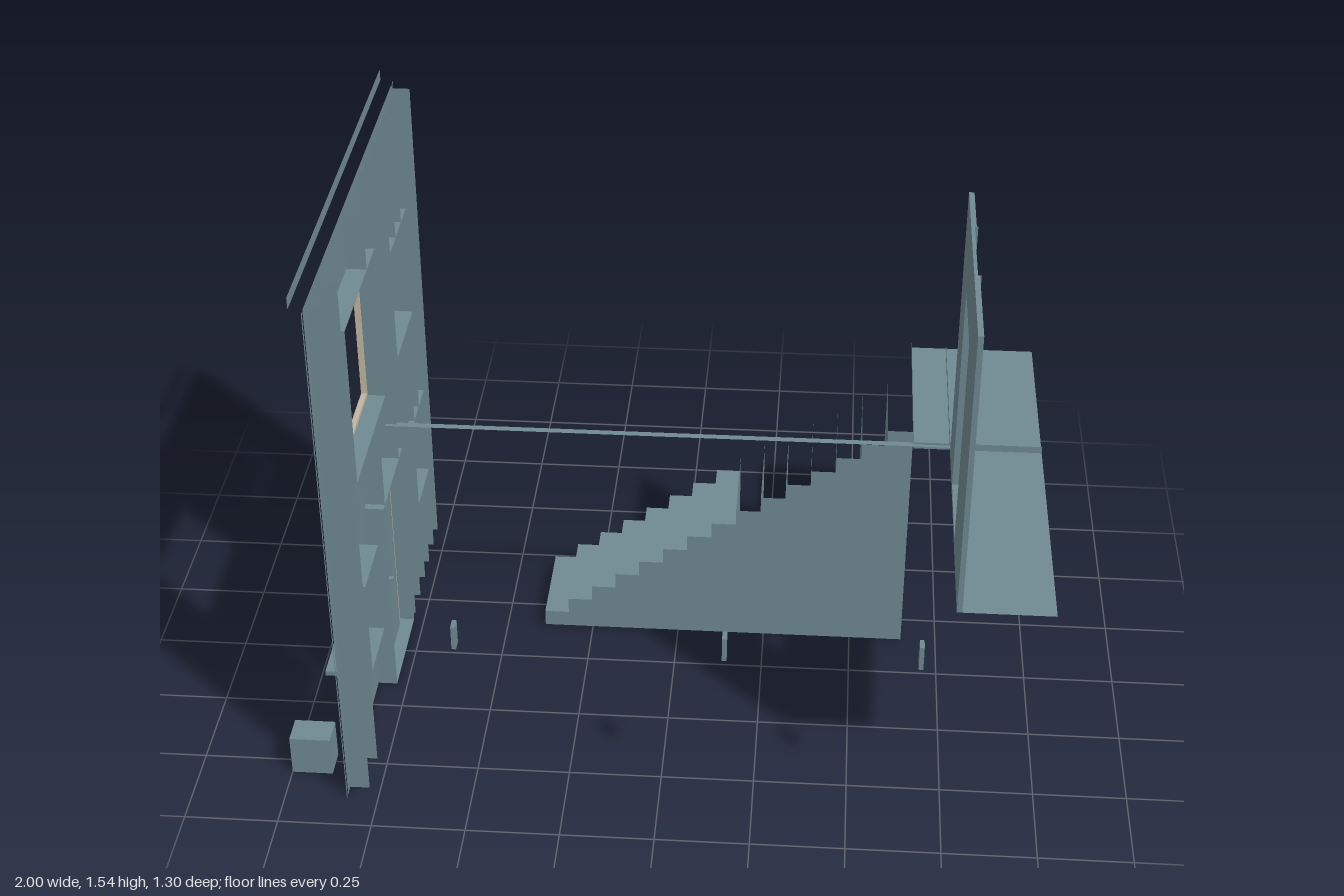
import * as THREE from 'three';

export function createModel() {
  const model = new THREE.Group();
  const slate = new THREE.MeshStandardMaterial({ color: 0x708a92 });
  slate.name = 'slate';
  const slateThin = new THREE.MeshStandardMaterial({ color: 0x708a92, side: THREE.DoubleSide });
  slateThin.name = 'slate thin';
  const tan = new THREE.MeshStandardMaterial({ color: 0xc2b5a0 });
  tan.name = 'tan trim';

  const add = (name, geo, mat = slate) => {
    const m = new THREE.Mesh(geo, mat);
    m.name = name;
    model.add(m);
    return m;
  };
  // Box from its minimum and maximum on each axis
  const box = (name, x0, x1, y0, y1, z0, z1, mat) => {
    const g = new THREE.BoxGeometry(x1 - x0, y1 - y0, z1 - z0);
    g.translate((x0 + x1) / 2, (y0 + y1) / 2, (z0 + z1) / 2);
    return add(name, g, mat);
  };
  // Upright plane across z, facing +x
  const planeX = (name, x, y0, y1, z0, z1, mat) => {
    const g = new THREE.PlaneGeometry(z1 - z0, y1 - y0);
    g.rotateY(Math.PI / 2).translate(x, (y0 + y1) / 2, (z0 + z1) / 2);
    return add(name, g, mat);
  };
  // Upright plane across x
  const planeZ = (name, z, y0, y1, x0, x1) => {
    const g = new THREE.PlaneGeometry(x1 - x0, y1 - y0);
    g.translate((x0 + x1) / 2, (y0 + y1) / 2, z);
    return add(name, g, slateThin);
  };
  const trace = (p, z0, z1, y0, y1) =>
    p.moveTo(z0, y0).lineTo(z1, y0).lineTo(z1, y1).lineTo(z0, y1).closePath();
  const holed = (outer, holes) => {
    const s = trace(new THREE.Shape(), ...outer);
    holes.forEach(h => s.holes.push(trace(new THREE.Path(), ...h)));
    return s;
  };
  // Wall across z, from x0 to x1, with rectangular holes [z0, z1, y0, y1]
  const wall = (name, x0, x1, outer, holes, mat) => {
    const g = new THREE.ExtrudeGeometry(holed(outer, holes), { depth: x1 - x0, bevelEnabled: false });
    g.rotateY(-Math.PI / 2).translate(x1, 0, 0);
    return add(name, g, mat);
  };
  const lining = (name, [a, b, c, d], x0, x1, mat, t) =>
    wall(name, x0, x1, [a, b, c, d], [[a + t, b - t, c + t, d - t]], mat);

  // Outside wall with its openings
  const bigWindow = [0.018, 0.442, 0.882, 1.333];
  const smallWindows = [[-0.44, -0.18, 0.88, 1.21], [-0.53, -0.34, 0.28, 0.56], [0.26, 0.45, 0.28, 0.56]];
  const doorway = [-0.152, 0.152, 0.0005, 0.602];
  const openings = [bigWindow, ...smallWindows, doorway];
  const skin = new THREE.ShapeGeometry(holed([-0.628, 0.63, 0, 1.5], openings));
  add('outerWall', skin.rotateY(-Math.PI / 2).translate(-0.833, 0, 0), slateThin);

  // Large window: slate casing with a tan frame inside
  lining('bigWindowLining', bigWindow, -0.844, -0.78, slate, 0.002);
  lining('bigWindowFrame', [0.02, 0.44, 0.884, 1.331], -0.843, -0.828, tan, 0.011);
  box('bigWindowJamb', -0.828, -0.786, 0.893, 1.322, 0.433, 0.439, tan);

  // Small windows, each with a pane just outside
  for (const w of smallWindows) {
    lining('windowLining', w, -0.833, -0.78, slate, 0.001);
    planeX('windowPane', -0.846, w[2], w[3], w[0], w[1], slateThin);
  }

  // Door, frame, lining and knob
  wall('doorLining', -0.833, -0.78, [-0.152, 0.152, 0, 0.602], [[-0.15, 0.15, 0.0005, 0.6]]);
  wall('doorFrame', -0.834, -0.822, [-0.15, 0.15, 0, 0.6], [[-0.125, 0.13, 0.001, 0.585]], tan);
  wall('door', -0.83, -0.818, [-0.125, 0.13, 0, 0.585], [[0.077, 0.097, 0.315, 0.333]]);
  box('doorKnob', -0.83, -0.78, 0.322, 0.326, 0.08, 0.094);

  // Small box beside the ground floor window
  box('wallLamp', -0.846, -0.833, 0.47, 0.57, 0.22, 0.25);

  // Wall studs, broken where they meet an opening
  for (const z of [0.6, 0.48, 0.13, -0.1, -0.18, -0.27, -0.36, -0.44, -0.53, -0.61]) {
    let y = 0;
    const cuts = openings.filter(o => z > o[0] + 0.005 && z < o[1] - 0.005).sort((p, q) => p[2] - q[2]);
    for (const c of cuts) {
      if (c[2] - y > 0.02) planeZ('wallStud', z, y, c[2], -0.833, -0.78);
      y = c[3];
    }
    planeZ('wallStud', z, y, 1.495, -0.833, -0.78);
  }

  // Roof edge and corner trims
  planeX('roofFascia', -0.866, 1.505, 1.537, -0.64, 0.64);
  for (const s of [-1, 1]) planeX('cornerTrim', -0.833, 0, 1.5, s * 0.643 - 0.005, s * 0.643 + 0.005, slateThin);

  // Porch slab and blocks
  box('porchSlab', -0.99, -0.834, 0, 0.015, -0.13, 0.13);
  box('porchBlock', -1, -0.89, 0, 0.115, -0.61, -0.53);
  box('porchBlock', -1, -0.89, 0, 0.115, 0.47, 0.55);

  // Headless standing figure
  const limb = (name, pts, r) => add(name, new THREE.TubeGeometry(
    new THREE.CatmullRomCurve3(pts.map(p => new THREE.Vector3(...p))), 8, r, 8));
  const torso = new THREE.CylinderGeometry(0.042, 0.034, 0.15, 10);
  torso.scale(0.72, 1, 1).translate(-0.868, 0.28, 0);
  add('figureTorso', torso);
  const hips = new THREE.SphereGeometry(0.036, 10, 8);
  hips.scale(0.65, 0.9, 1).translate(-0.862, 0.205, 0);
  add('figureHips', hips);
  for (const s of [-1, 1]) {
    limb('figureArm', [[-0.87, 0.345, s * 0.044], [-0.876, 0.27, s * 0.056], [-0.888, 0.195, s * 0.052]], 0.012);
    limb('figureLeg', [[-0.86, 0.21, s * 0.018], [-0.854, 0.11, s * 0.026], [-0.866, 0.025, s * 0.032]], 0.014);
    box('figureFoot', -0.892, -0.85, 0.015, 0.03, s * 0.032 - 0.011, s * 0.032 + 0.011);
  }

  // Stairs: stepped side, full-height risers, lower treads
  const steps = 15, run = 1.04 / steps, rise = 0.048, startX = -0.39;
  const side = new THREE.Shape().moveTo(startX, 0);
  for (let i = 0; i < steps; i++) {
    const x = startX + i * run, y = (i + 1) * rise;
    side.lineTo(x, y).lineTo(x + run, y);
    planeX('stairRiser', x, 0, y, -0.43, -0.155, slateThin);
    if (i < 8) {
      const tread = new THREE.PlaneGeometry(run, 0.275);
      tread.rotateX(-Math.PI / 2).translate(x + run / 2, y, -0.2925);
      add('stairTread', tread);
    }
  }
  side.lineTo(startX + steps * run, 0);
  add('stairSide', new THREE.ShapeGeometry(side).translate(0, 0, -0.155), slateThin);

  // Upper landing: flat deck with low upright curbs
  const deck = new THREE.Shape()
    .moveTo(0.65, 0.64).lineTo(0.65, 0.1).lineTo(0.75, 0.1).lineTo(0.75, -0.64).lineTo(1, -0.64).lineTo(1, 0.64);
  add('landing', new THREE.ShapeGeometry(deck).rotateX(-Math.PI / 2).translate(0, 0.702, 0), slateThin);
  for (const x of [0.65, 0.75]) planeX('landingCurb', x, 0.702, 0.722, -0.64, -0.1, slateThin);
  planeZ('landingCurb', -0.1, 0.702, 0.722, 0.65, 1);

  // Flat strip joining the two sides
  const strip = new THREE.PlaneGeometry(1.56, 0.02);
  strip.rotateX(-Math.PI / 2).translate(-0.03, 0.715, -0.1);
  add('floorStrip', strip, slateThin);

  // Upper inner wall: two panels, a threshold, a header set back, and doorway posts
  box('innerWallPanel', 0.75, 0.764, 0.702, 1.5, 0.35, 0.64);
  box('innerWallPanel', 0.75, 0.764, 0.702, 1.5, -0.085, 0.1);
  box('innerWallThreshold', 0.75, 0.764, 0.702, 0.722, 0.1, 0.35);
  box('innerWallHeader', 0.75, 0.759, 1.31, 1.5, 0.1, 0.35);
  for (const z of [0.1, 0.35]) planeZ('doorwayPost', z, 0.722, 1.5, 0.75, 0.768);

  // Small floating wall plates
  for (const x of [-0.522, 0.172, 0.672]) box('wallPlate', x - 0.006, x + 0.006, 0.51, 0.58, 0.6, 0.632);

  return model;
}
